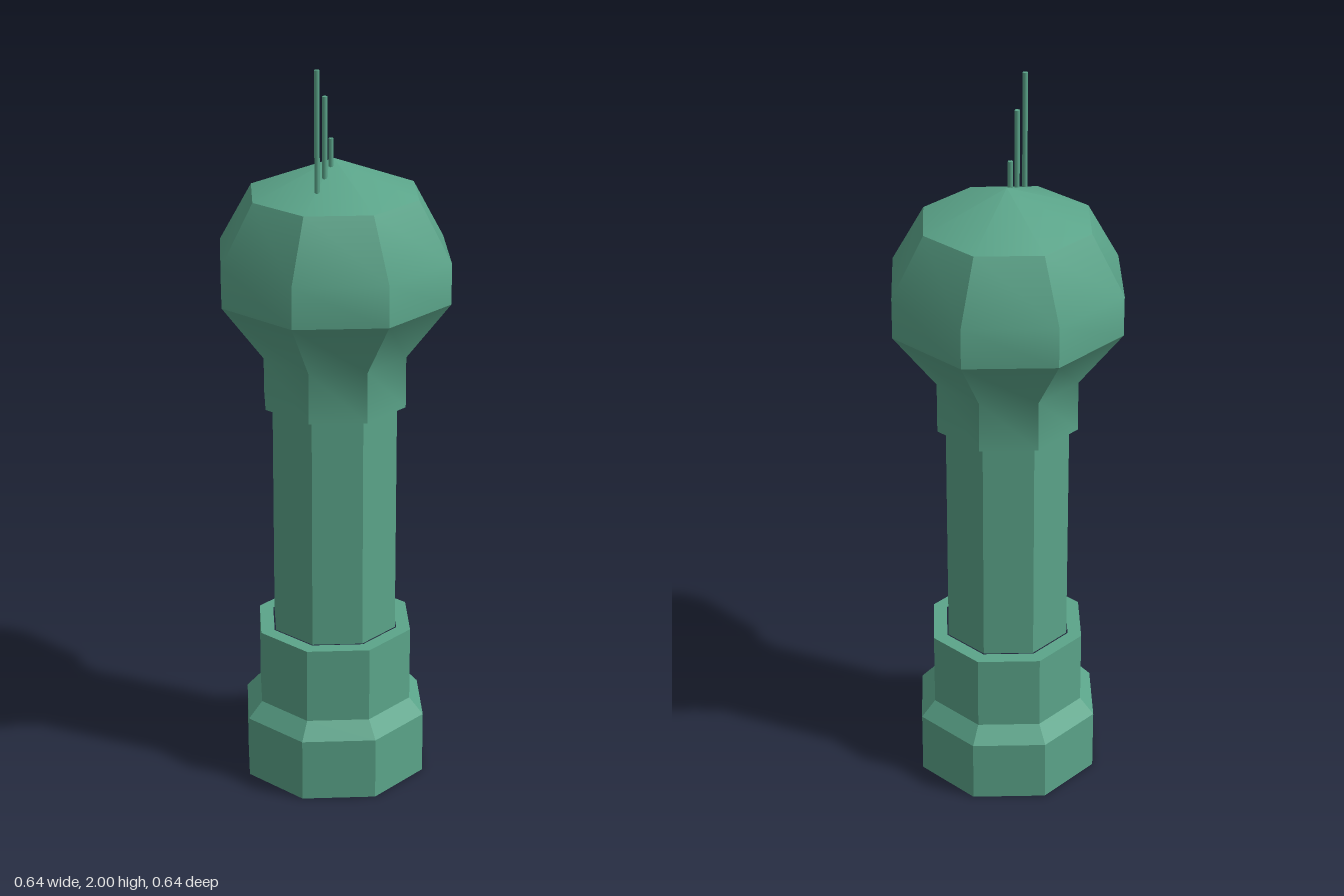
import * as THREE from 'three';
import { toCreasedNormals } from 'three/addons/utils/BufferGeometryUtils.js';

const SIDES = 8;
const CREASE = THREE.MathUtils.degToRad(36);

export function createModel() {
  const group = new THREE.Group();
  const material = new THREE.MeshStandardMaterial({ color: 0x5ba58a });

  const add = (name, geometry) => {
    const mesh = new THREE.Mesh(geometry, material);
    mesh.name = name;
    group.add(mesh);
    return mesh;
  };

  // Octagonal ring of walls from a bottom-to-top profile of [radius, height]
  const octagon = (name, profile, crease = CREASE) => {
    const points = profile.map(([r, y]) => new THREE.Vector2(r, y));
    return add(name, toCreasedNormals(new THREE.LatheGeometry(points, SIDES), crease));
  };

  // Stepped foot: closed underside, bevelled plinth, collar with a flat ledge
  octagon('plinth', [[0, 0], [0.26, 0], [0.26, 0.175]]);
  octagon('plinthBevel', [[0.26, 0.175], [0.22, 0.22]], 0.1);
  octagon('collar', [[0.22, 0.22], [0.22, 0.43], [0.18, 0.43]]);

  // Straight shaft
  octagon('shaft', [[0.176, 0.43], [0.176, 1.08]]);

  // Flared neck with a small overhang, softly curved along its height
  octagon('neck', [[0.176, 1.08], [0.2, 1.08], [0.2, 1.22], [0.32, 1.38]]);

  // Bulbous head and shallow roof
  octagon('head', [[0.32, 1.38], [0.32, 1.49], [0.23, 1.65]]);
  octagon('roof', [[0.23, 1.65], [0, 1.74]]);

  // Row of antennas rising from the roof, taller toward the front
  for (const [z, top] of [[0.03, 1.8], [0.078, 1.92], [0.135, 2]]) {
    const bottom = 1.735 - z * 0.39;
    const antenna = add('antenna', new THREE.CylinderGeometry(0.007, 0.007, top - bottom, 6));
    antenna.position.set(0.002, (top + bottom) / 2, z);
  }

  return group;
}
